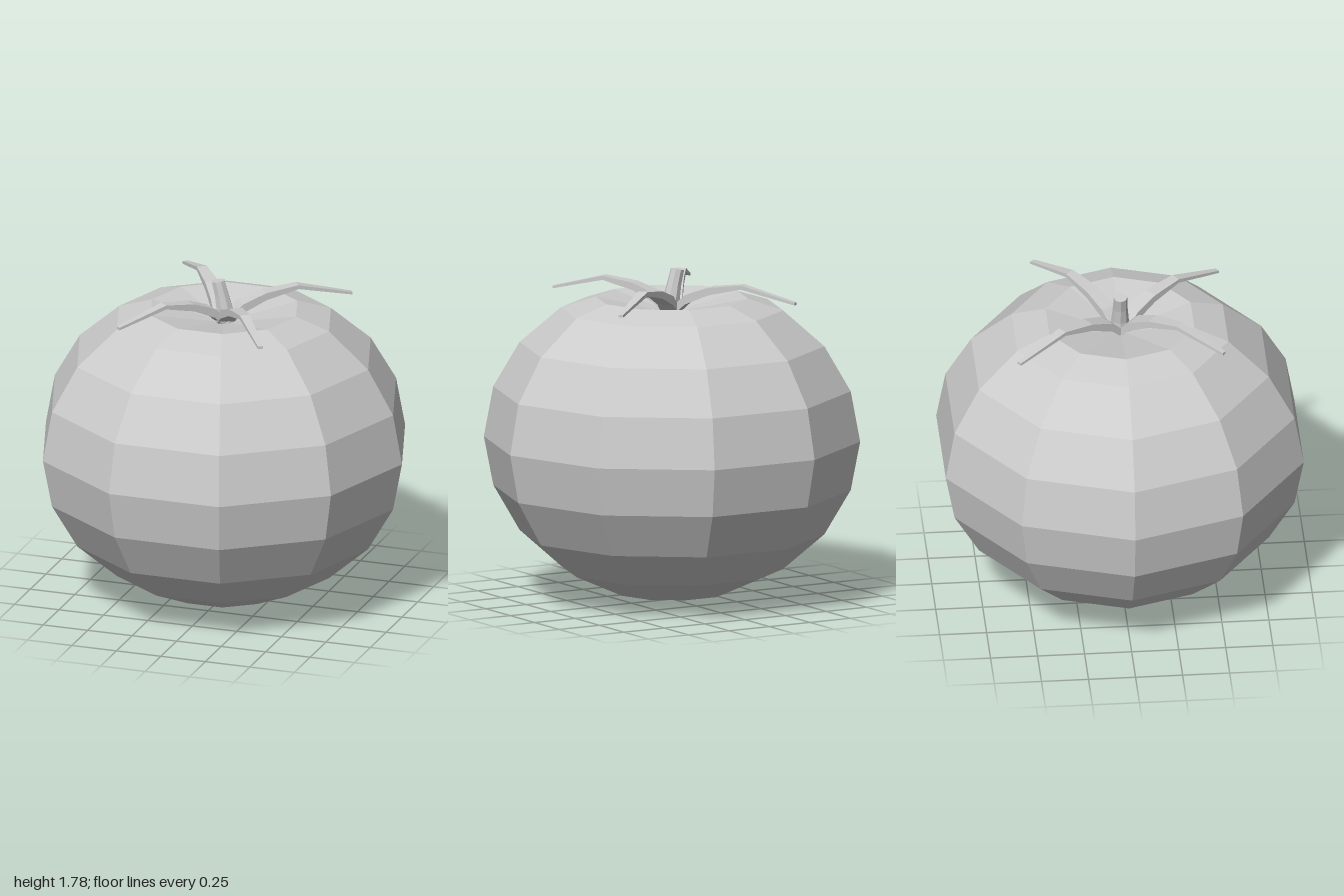
import * as THREE from 'three';

const material = new THREE.MeshStandardMaterial({ color: 0xcccccc, flatShading: true });

function part(name, geometry) {
  const mesh = new THREE.Mesh(geometry, material);
  mesh.name = name;
  return mesh;
}

// Ten-sided round fruit with a dip at the top
function fruitGeometry() {
  const profile = [
    [0, 0], [0.31, 0.045], [0.59, 0.17], [0.81, 0.36], [0.95, 0.6], [1, 0.86],
    [0.95, 1.13], [0.81, 1.37], [0.59, 1.56], [0.405, 1.62], [0, 1.54],
  ].map(([r, y]) => new THREE.Vector2(r, y));
  return new THREE.LatheGeometry(profile, 10, Math.PI / 2);
}

// Tapered stem: each ring of a cylinder is moved onto a bent path
function stemGeometry() {
  const rings = [ // centre x, y, radius
    [0.01, 1.52, 0.055], [0.005, 1.61, 0.047], [-0.012, 1.69, 0.04], [-0.034, 1.77, 0.036],
  ];
  const geometry = new THREE.CylinderGeometry(1, 1, 1, 8, 3);
  const pos = geometry.attributes.position;
  for (let i = 0; i < pos.count; i++) {
    const [cx, y, r] = rings[Math.round((pos.getY(i) + 0.5) * 3)];
    const px = pos.getX(i) * r;
    const tilt = y > 1.7 ? 0.15 * px : 0;
    pos.setXYZ(i, cx + px, y + tilt, pos.getZ(i) * r);
  }
  geometry.computeVertexNormals();
  return geometry;
}

// Arched, tapering leaf: a segmented box moved onto stations along +x
function sepalGeometry() {
  const stations = [ // distance, top height, width, thickness
    [0.02, 1.58, 0.1, 0.05], [0.09, 1.645, 0.092, 0.05], [0.22, 1.692, 0.075, 0.04],
    [0.4, 1.715, 0.055, 0.022], [0.7, 1.64, 0.028, 0.014],
  ];
  const n = stations.length - 1;
  const geometry = new THREE.BoxGeometry(1, 1, 1, n, 1, 1);
  const pos = geometry.attributes.position;
  for (let i = 0; i < pos.count; i++) {
    const [r, top, width, thick] = stations[Math.round((pos.getX(i) + 0.5) * n)];
    pos.setXYZ(i, r, top + (pos.getY(i) - 0.5) * thick, pos.getZ(i) * width);
  }
  geometry.computeVertexNormals();
  return geometry;
}

export function createModel() {
  const model = new THREE.Group();
  model.name = 'tomato';
  model.add(part('fruit', fruitGeometry()), part('stem', stemGeometry()));

  // Four leaves, aimed at their tips (x, z)
  const sepals = new THREE.Group();
  sepals.name = 'sepals';
  const geometry = sepalGeometry();
  for (const [x, z] of [[0.57, -0.42], [-0.42, -0.57], [-0.41, 0.52], [0.4, 0.55]]) {
    const sepal = part('sepal', geometry);
    sepal.rotation.y = Math.atan2(-z, x);
    sepal.scale.x = Math.hypot(x, z) / 0.7;
    sepals.add(sepal);
  }
  model.add(sepals);
  return model;
}
